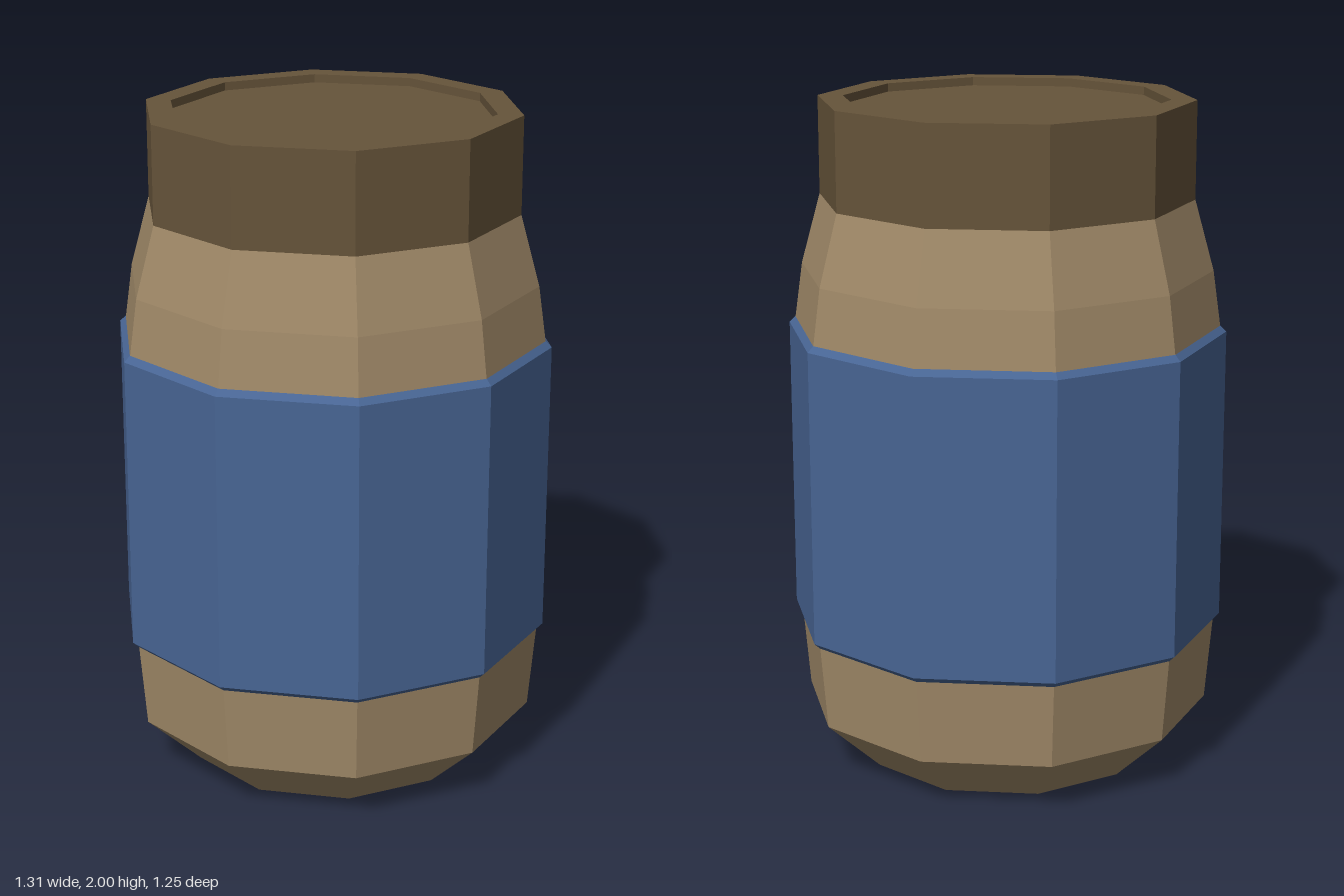
import * as THREE from 'three';

const SIDES = 10;

// Turns a [radius, height] profile, listed bottom to top, into a faceted ten-sided solid
function turned(name, color, profile) {
  const points = profile.map(([r, y]) => new THREE.Vector2(r, y));
  const geometry = new THREE.LatheGeometry(points, SIDES, Math.PI / 2);
  const material = new THREE.MeshStandardMaterial({ color, flatShading: true });
  const mesh = new THREE.Mesh(geometry, material);
  mesh.name = name;
  return mesh;
}

export function createModel() {
  const jar = new THREE.Group();
  jar.name = 'jar';

  // Body: flat base, chamfered foot, belly and tapering shoulder
  jar.add(turned('body', 0xa08968, [
    [0, 0], [0.445, 0], [0.615, 0.16], [0.637, 0.42],
    [0.637, 1.33], [0.613, 1.5], [0.555, 1.71], [0, 1.71],
  ]));

  // Label: band around the belly with narrow bevelled edges
  jar.add(turned('label', 0x486594, [
    [0.637, 0.415], [0.655, 0.432], [0.655, 1.317], [0.637, 1.335],
  ]));

  // Lid: straight wall, raised rim and shallow recessed top
  jar.add(turned('lid', 0x66543a, [
    [0.555, 1.71], [0.555, 2], [0.48, 2], [0.48, 1.975], [0, 1.975],
  ]));

  return jar;
}
